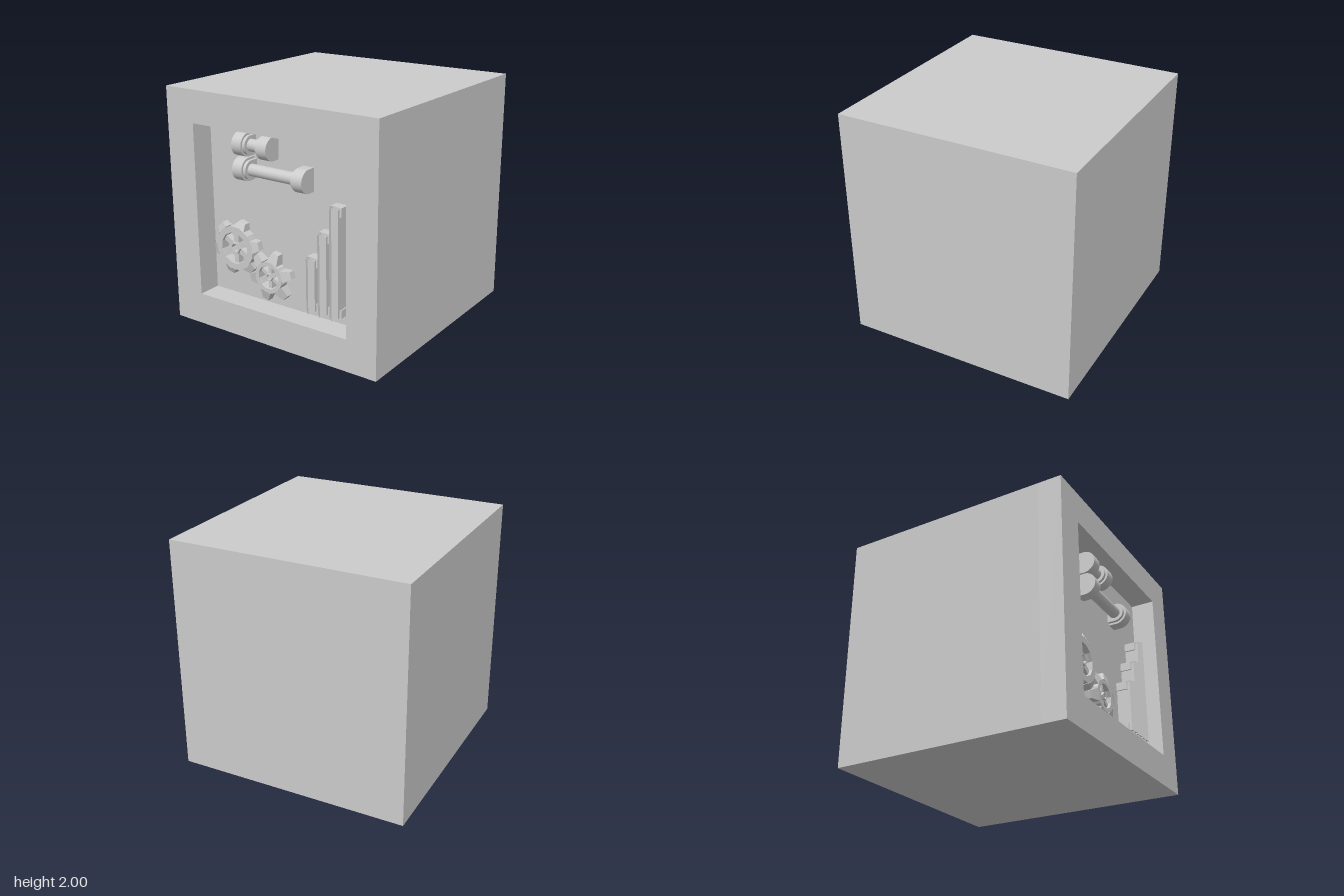
import * as THREE from 'three';
import { toCreasedNormals } from 'three/addons/utils/BufferGeometryUtils.js';

const WALL = 0.8; // z of the recessed panel

export function createModel() {
  const model = new THREE.Group();
  const flat = new THREE.MeshStandardMaterial({ color: 0xcccccc, flatShading: true });
  const smooth = new THREE.MeshStandardMaterial({ color: 0xcccccc });

  const add = (parent, name, geometry, material = flat) => {
    const mesh = new THREE.Mesh(geometry, material);
    mesh.name = name;
    parent.add(mesh);
    return mesh;
  };
  const group = (name, x, y, z) => {
    const g = new THREE.Group();
    g.name = name;
    g.position.set(x, y, z);
    model.add(g);
    return g;
  };
  const polygon = (r, n, phase = 0) => Array.from({ length: n }, (_, i) => {
    const a = phase + i / n * Math.PI * 2;
    return new THREE.Vector2(r * Math.cos(a), r * Math.sin(a));
  });
  const extrude = (shape, depth) =>
    new THREE.ExtrudeGeometry(shape, { depth, bevelEnabled: false, curveSegments: 12 });
  const rect = (h) => [[-h, -h], [h, -h], [h, h], [-h, h]].map(p => new THREE.Vector2(...p));

  // Cube with a square window in its front
  add(model, 'cubeBody', new THREE.BoxGeometry(2, 2, 1 + WALL)).position.set(0, 1, (WALL - 1) / 2);
  const frame = new THREE.Shape(rect(1));
  frame.holes.push(new THREE.Path(rect(0.73)));
  add(model, 'frontFrame', extrude(frame, 1 - WALL)).position.set(0, 1, WALL);

  // Round-fronted block running along x, its flat back on the panel
  const axisZ = 0.065;
  const roundBlock = (r, x0, x1) => {
    const s = new THREE.Shape();
    s.moveTo(0, -r);
    s.lineTo(-axisZ, -r);
    s.absarc(-axisZ, 0, r, -Math.PI / 2, Math.PI / 2, true);
    s.lineTo(0, r);
    s.closePath();
    const g = extrude(s, x1 - x0);
    g.rotateY(Math.PI / 2);
    g.translate(x0, 0, 0);
    return toCreasedNormals(g, 0.6);
  };

  // Two horizontal spools
  const spool = (name, y, x0, x1) => {
    const g = group(name, 0, y, WALL);
    for (const [side, a, b, c] of [['right', x0, x0 + 0.095, x0 + 0.12], ['left', x1, x1 - 0.095, x1 - 0.12]]) {
      add(g, side + 'Cap', roundBlock(0.095, Math.min(a, b), Math.max(a, b)), smooth);
      add(g, side + 'Collar', roundBlock(0.077, Math.min(b, c), Math.max(b, c)), smooth);
    }
    const rod = new THREE.CylinderGeometry(0.05, 0.05, x1 - x0 - 0.2, 24).rotateZ(Math.PI / 2);
    add(g, 'rod', rod, smooth).position.set((x0 + x1) / 2, 0, axisZ);
  };
  spool('shortSpool', 1.596, -0.375, -0.035);
  spool('longSpool', 1.396, -0.375, 0.3);

  // Tooth along +x, narrowing and sloping back towards its tip
  const tooth = (r0, r1, w0, w1, depth) => {
    const g = new THREE.BoxGeometry(1, 1, 1);
    const p = g.attributes.position;
    for (let i = 0; i < p.count; i++) {
      const tip = p.getX(i) > 0;
      const front = p.getZ(i) > 0;
      p.setXYZ(i, tip ? r1 : r0, p.getY(i) * (tip ? w1 : w0), front ? depth - (tip ? 0.025 : 0) : 0);
    }
    return g;
  };

  // Six-toothed gears with a spoked hub
  const gear = (name, x, y, phase, ring, hole, tip, hub, w0, w1) => {
    const depth = 0.08;
    const g = group(name, x, y, WALL);
    const rim = new THREE.Shape(polygon(ring, 12, phase));
    rim.holes.push(new THREE.Path(polygon(hole, 12, phase)));
    add(g, 'rim', extrude(rim, depth));
    const hubShape = new THREE.Shape(polygon(hub, 6));
    hubShape.holes.push(new THREE.Path(polygon(hub * 0.7, 6)));
    add(g, 'hub', extrude(hubShape, depth - 0.005));
    for (let i = 0; i < 6; i++) {
      const turn = i * Math.PI / 3;
      add(g, 'tooth', tooth(ring * 0.95, tip, w0, w1, depth)).rotation.z = phase + turn;
      const spoke = new THREE.BoxGeometry(hole - hub * 0.86, hub * 0.9, depth - 0.025);
      spoke.translate((hole + hub * 0.86) / 2, 0, (depth - 0.025) / 2);
      add(g, 'spoke', spoke).rotation.z = turn + Math.PI / 6;
    }
  };
  gear('largeGear', -0.452, 0.7, 0.235, 0.19, 0.135, 0.237, 0.052, 0.105, 0.068);
  gear('smallGear', -0.104, 0.524, 0.262, 0.135, 0.1, 0.213, 0.034, 0.1, 0.062);

  // Upright strip with a ridged front; the ridge overshoots both ends
  const strip = (w, side, ridge, y0, y1) => {
    const s = new THREE.Shape([[-w, 0], [w, 0], [w, -side], [0, -ridge], [-w, -side]]
      .map(p => new THREE.Vector2(...p)));
    const g = extrude(s, y1 - y0).rotateX(-Math.PI / 2);
    g.translate(0, y0, 0);
    const p = g.attributes.position;
    const middle = (y0 + y1) / 2;
    for (let i = 0; i < p.count; i++) {
      if (Math.abs(p.getX(i)) < 1e-4) p.setY(i, p.getY(i) + (p.getY(i) > middle ? 0.02 : -0.02));
    }
    return g;
  };

  // Three bars of rising height, each with a wider clamp at both ends
  [[0.34, 0.8], [0.45, 1.022], [0.56, 1.252]].forEach(([x, top]) => {
    const g = group('ridgedBar', x, 0, WALL);
    add(g, 'bar', strip(0.041, 0.115, 0.145, 0.368, top - 0.01));
    add(g, 'lowerClamp', strip(0.052, 0.09, 0.12, 0.362, 0.43));
    add(g, 'upperClamp', strip(0.052, 0.09, 0.12, top - 0.07, top));
  });

  return model;
}
